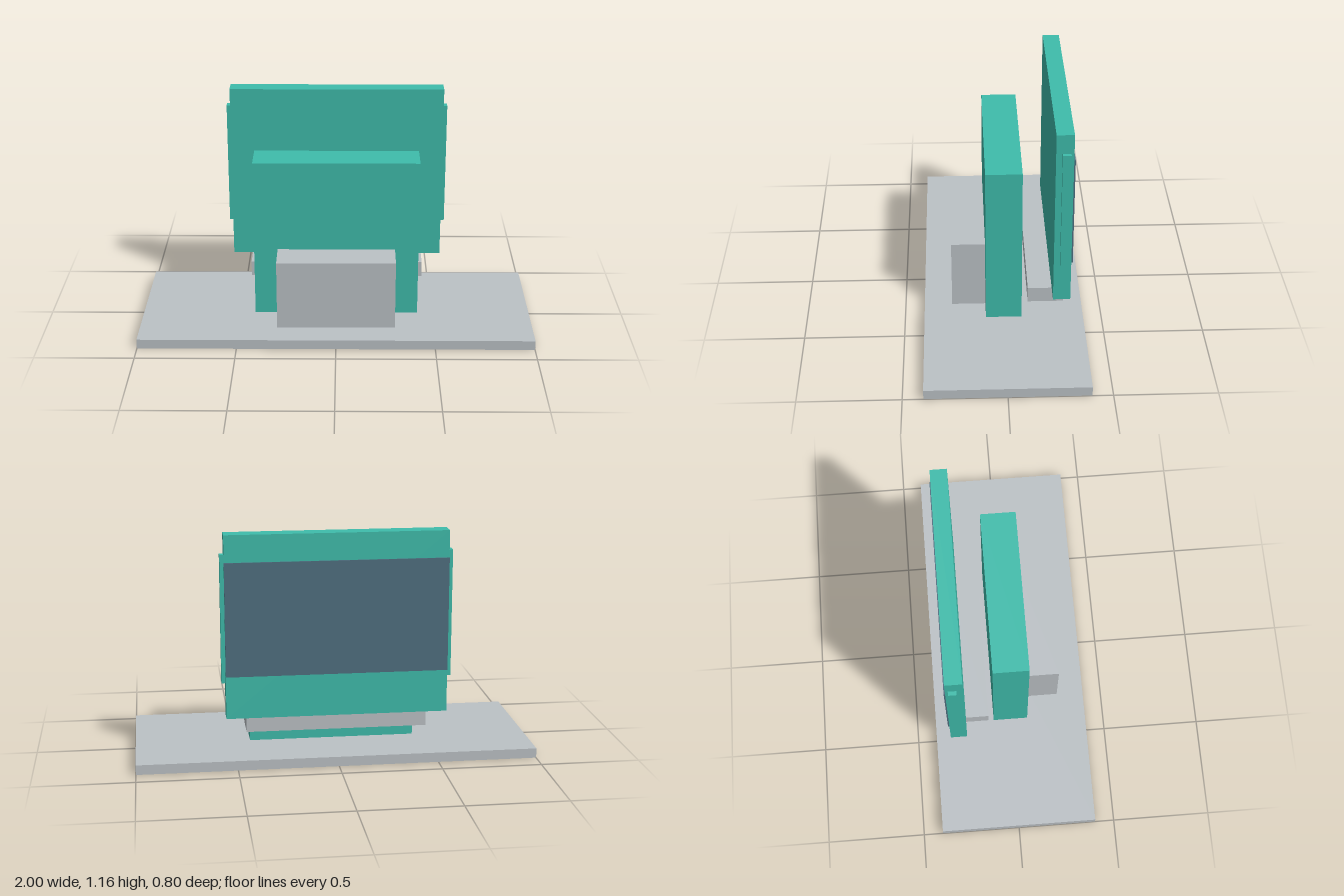
import * as THREE from 'three';

export function createModel() {
  const model = new THREE.Group();
  model.name = 'displayStand';

  const mat = (name, color) => {
    const m = new THREE.MeshStandardMaterial({ color });
    m.name = name;
    return m;
  };
  const teal = mat('teal', 0x3fbdac);
  const grey = mat('lightGrey', 0xbcc2c6);
  const slate = mat('slateBlue', 0x4f6f80);

  // Box given by its extents on each axis
  const box = (name, material, [x0, x1], [y0, y1], [z0, z1]) => {
    const mesh = new THREE.Mesh(new THREE.BoxGeometry(x1 - x0, y1 - y0, z1 - z0), material);
    mesh.position.set((x0 + x1) / 2, (y0 + y1) / 2, (z0 + z1) / 2);
    mesh.name = name;
    model.add(mesh);
  };

  // Floor slab, with the counter running through to its underside
  box('base', grey, [-1, 1], [0.001, 0.05], [-0.4, 0.4]);
  box('counterBody', teal, [-0.42, 0.42], [0, 0.88], [-0.09, 0.09]);
  box('frontStep', grey, [-0.3, 0.3], [0.05, 0.41], [0.09, 0.26]);

  // Raised back panel on its ledge
  box('ledge', grey, [-0.45, 0.45], [0.163, 0.243], [-0.295, -0.118]);
  box('backPanel', teal, [-0.55, 0.55], [0.243, 1.16], [-0.322, -0.237]);
  box('screen', slate, [-0.55, 0.55], [0.457, 1.025], [-0.329, -0.322]);

  // Side rails, mirrored
  for (const [name, side] of [['leftRail', 1], ['rightRail', -1]]) {
    const xs = [0.55 * side, 0.57 * side].sort((a, b) => a - b);
    box(name, teal, xs, [0.423, 1.062], [-0.308, -0.267]);
  }

  return model;
}
